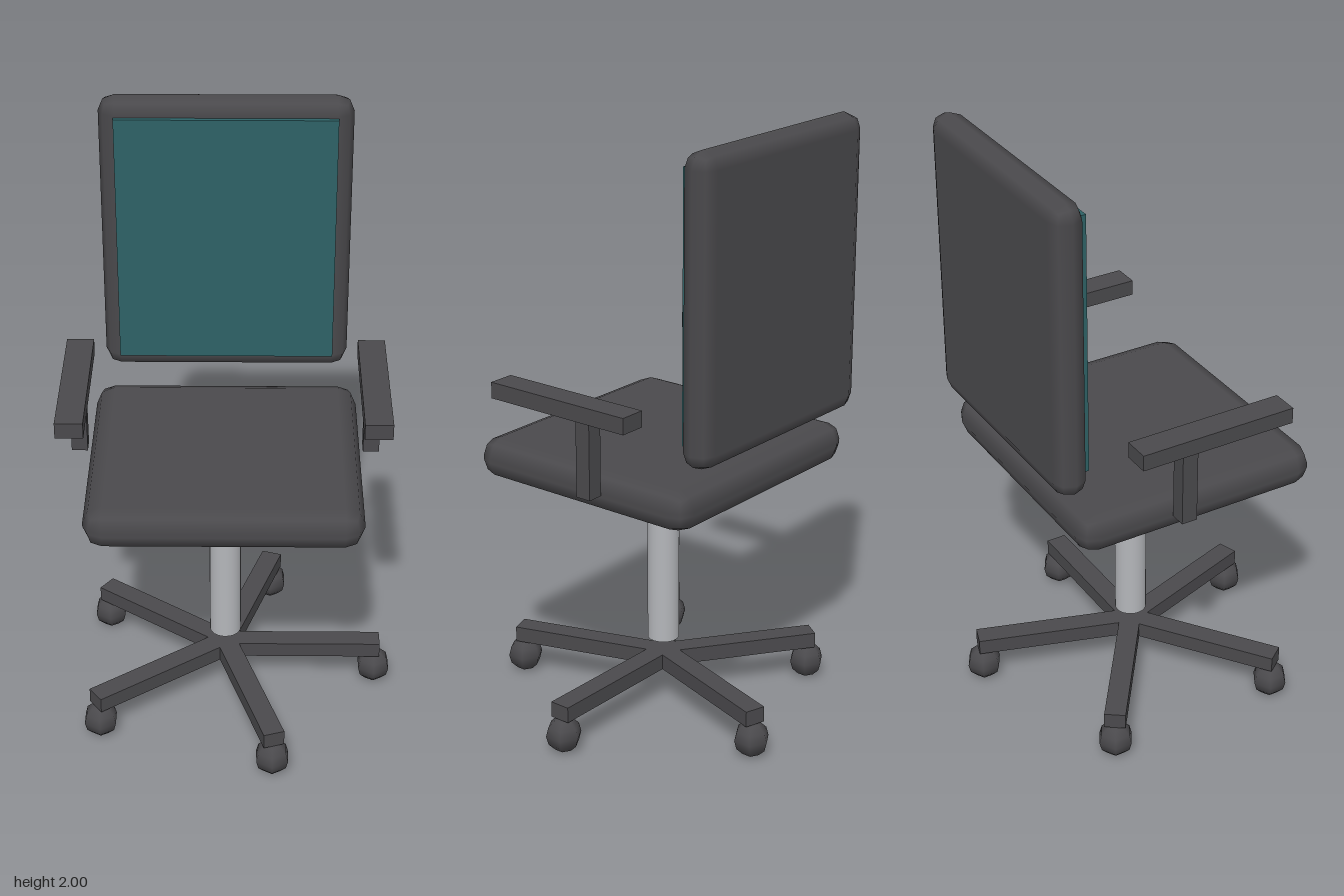
import * as THREE from 'three';
import { RoundedBoxGeometry } from 'three/addons/geometries/RoundedBoxGeometry.js';

export function createModel() {
  const material = (name, color) => {
    const m = new THREE.MeshStandardMaterial({ color });
    m.name = name;
    return m;
  };
  const charcoal = material('charcoal', 0x4a494c);
  const teal = material('teal', 0x2e6266);
  const steel = material('steel', 0xb4b6ba);

  const model = new THREE.Group();
  model.name = 'officeChair';
  // The five-armed base makes the chair axis sit slightly off centre
  const chair = new THREE.Group();
  chair.name = 'chair';
  chair.position.x = -0.024;
  model.add(chair);

  const add = (name, geometry, mat, x, y, z, parent = chair) => {
    const mesh = new THREE.Mesh(geometry, mat);
    mesh.name = name;
    mesh.position.set(x, y, z);
    parent.add(mesh);
    return mesh;
  };

  // Cushioned seat and backrest with its coloured panel
  add('seat', new RoundedBoxGeometry(0.884, 0.138, 0.846, 1, 0.062), charcoal, 0, 0.891, 0);
  add('backrest', new RoundedBoxGeometry(0.816, 0.97, 0.108, 1, 0.053), charcoal, 0, 1.515, -0.427);
  add('backPanel', new THREE.BoxGeometry(0.714, 0.854, 0.053), teal, 0, 1.515, -0.383);

  // Gas lift column
  add('column', new THREE.CylinderGeometry(0.053, 0.053, 0.64, 24), steel, 0, 0.535, 0);

  // Armrests, mirrored left and right
  for (const [side, s] of [['left', 1], ['right', -1]]) {
    add(side + 'ArmPad', new THREE.BoxGeometry(0.089, 0.053, 0.532), charcoal, s * 0.48, 1.176, 0);
    add(side + 'ArmPost', new THREE.BoxGeometry(0.053, 0.265, 0.053), charcoal, s * 0.48, 1.028, -0.09);
  }

  // Star base: five spokes, each with a faceted ball caster
  const spoke = new THREE.BoxGeometry(0.532, 0.053, 0.07).translate(0.266, 0, 0);
  const ball = new THREE.SphereGeometry(0.06, 6, 6).rotateY(Math.PI / 2);
  for (let i = 0; i < 5; i++) {
    const a = (i * Math.PI * 2) / 5;
    add('baseSpoke', spoke, charcoal, 0, 0.144, 0).rotation.y = -a;
    add('caster', ball, charcoal, 0.514 * Math.cos(a), 0.06, 0.514 * Math.sin(a));
  }
  return model;
}
